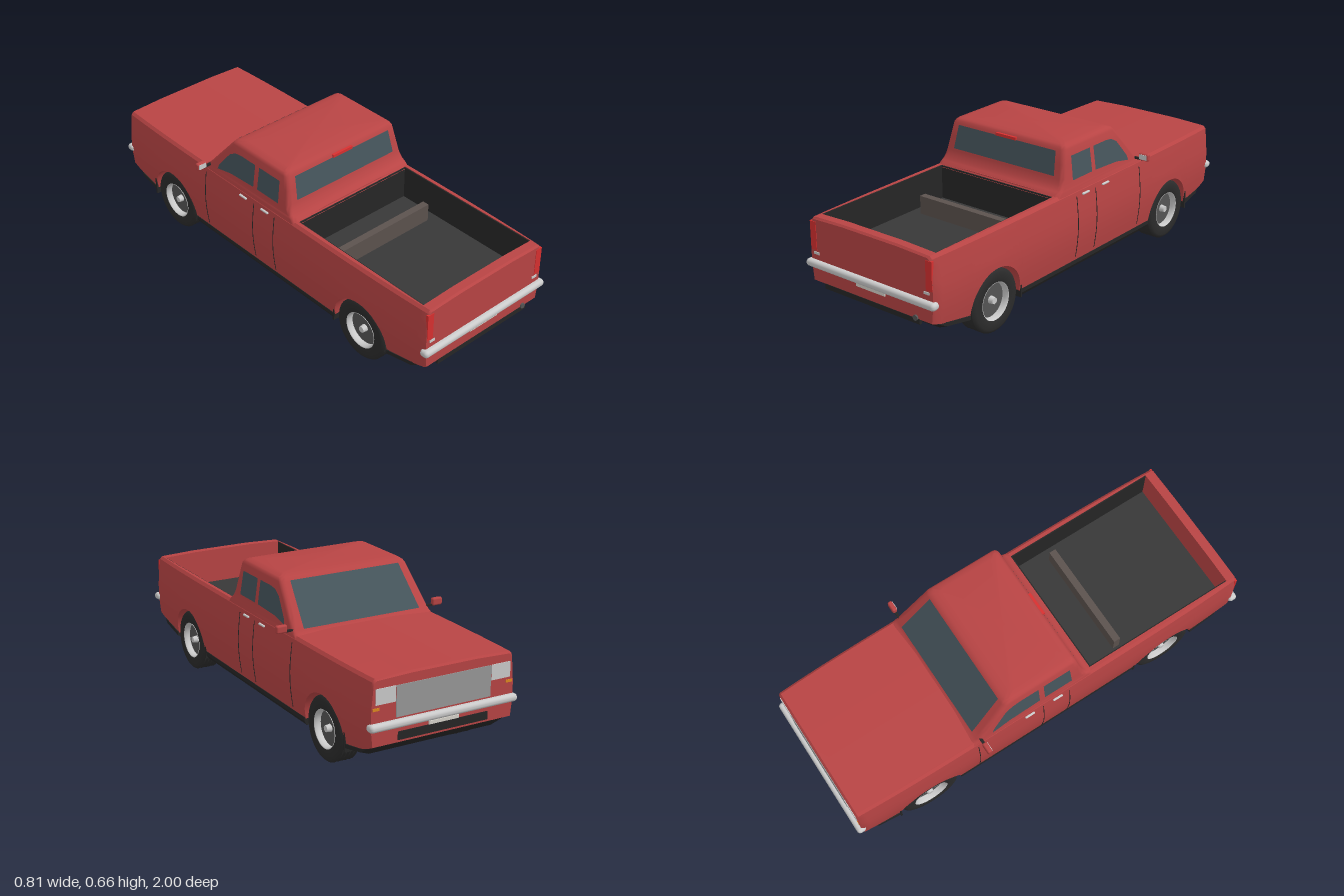
import * as THREE from 'three';
import { toCreasedNormals } from 'three/addons/utils/BufferGeometryUtils.js';
import { RoundedBoxGeometry } from 'three/addons/geometries/RoundedBoxGeometry.js';

const mat = (color, side = THREE.FrontSide) => new THREE.MeshStandardMaterial({ color, side });
const RED = mat(0xb84444), DARK = mat(0x262626), LINER = mat(0x383838), GLASS = mat(0x46555c, THREE.DoubleSide);
const CHROME = mat(0xcccccc), LAMP = mat(0xd83030), RUBBER = mat(0x2b2b2b), STEEL = mat(0x555555), WOOD = mat(0x5c524e);
const PALE = mat(0xd8d4cc), AMBER = mat(0xe08a20), RIM = mat(0xcccccc, THREE.DoubleSide);

// Piecewise-linear lookup in a list of [key, value]
function lookup(table, k) {
  if (k <= table[0][0]) return table[0][1];
  for (let i = 1; i < table.length; i++) {
    const [a, va] = table[i - 1], [b, vb] = table[i];
    if (k <= b) return va + (vb - va) * (k - a) / (b - a);
  }
  return table[table.length - 1][1];
}

// Skin over equal-length closed rings, capped at both ends
function loft(rings, crease = 0.6) {
  const n = rings[0].length, pos = rings.flat(2), idx = [];
  for (let i = 0; i < rings.length - 1; i++) {
    for (let j = 0; j < n; j++) {
      const a = i * n + j, b = i * n + (j + 1) % n;
      idx.push(a, b, b + n, a, b + n, a + n);
    }
  }
  [0, rings.length - 1].forEach((r, end) => {
    const c = pos.length / 3, ring = rings[r];
    for (let k = 0; k < 3; k++) pos.push(ring.reduce((s, p) => s + p[k], 0) / n);
    for (let j = 0; j < n; j++) {
      const a = r * n + j, b = r * n + (j + 1) % n;
      if (end) idx.push(c, a, b); else idx.push(c, b, a);
    }
  });
  const g = new THREE.BufferGeometry();
  g.setAttribute('position', new THREE.Float32BufferAttribute(pos, 3));
  g.setIndex(idx);
  return toCreasedNormals(g, crease);
}

// Body rules: wheel positions, half-width and lower edge
const AXLES = [-0.635, 0.61], WHEEL_Y = 0.14, ARCH = 0.151;
const WIDTH = [[0.1, 0.328], [0.18, 0.342], [0.25, 0.35], [0.32, 0.351], [0.4, 0.344], [0.46, 0.336]];
const SILL = [[-0.978, 0.185], [-0.9, 0.15], [-0.79, 0.131], [0.76, 0.131], [0.9, 0.155], [0.978, 0.18]];
const bodyWidth = (y, z) => lookup(WIDTH, y) * (1 - 0.045 * z ** 4);
function lowerEdge(z) {
  for (const c of AXLES) {
    const d = Math.abs(z - c);
    if (d <= ARCH) return WHEEL_Y + Math.sqrt(Math.max(0, ARCH * ARCH - d * d));
  }
  return lookup(SILL, z);
}

function bodyRing(z) {
  const end = Math.abs(z) > 0.975, inBed = z > 0.202 && z < 0.932;
  const t = end ? 0.452 : 0.46, f = inBed ? 0.3 : t, crown = inBed ? 0 : 0.006;
  const b = lowerEdge(z), half = [], k = end ? 0.985 : 1;
  for (let i = 0; i <= 9; i++) {
    const y = b + (t - 0.012 - b) * i / 9;
    half.push([bodyWidth(y, z) * k, y, z]);
  }
  half.push([(bodyWidth(t, z) - 0.01) * k, t, z], [0.31, t, z], [0.31, f, z], [0.15, f + crown, z]);
  return [...half, ...half.map(([x, y, zz]) => [-x, y, zz]).reverse()];
}

// Cab rules: rear and front faces and half-width by height
const CAB_REAR = [[0.45, 0.21], [0.465, 0.198], [0.48, 0.178], [0.5, 0.164], [0.52, 0.157], [0.64, 0.129], [0.655, 0.118], [0.663, 0.095]];
const CAB_FRONT = [[0.45, -0.42], [0.465, -0.392], [0.475, -0.38], [0.65, -0.228], [0.658, -0.208], [0.663, -0.18]];
const CAB_WIDTH = [[0.45, 0.336], [0.48, 0.332], [0.64, 0.309], [0.65, 0.304], [0.658, 0.294], [0.663, 0.27]];
function cabRing(y) {
  const w = lookup(CAB_WIDTH, y), zr = lookup(CAB_REAR, y), zf = lookup(CAB_FRONT, y), r = 0.022, ring = [];
  [[1, zf + r], [-1, zf + r], [-1, zr - r], [1, zr - r]].forEach(([s, z], q) => {
    for (let i = 0; i <= 4; i++) {
      const a = (q + i / 4) * Math.PI / 2;
      ring.push([s * (w - r) + r * Math.cos(a), y, z - r * Math.sin(a)]);
    }
  });
  return ring;
}

export function createModel() {
  const model = new THREE.Group();
  const add = (name, geo, material, x = 0, y = 0, z = 0, parent = model) => {
    const m = new THREE.Mesh(geo, material);
    m.name = name;
    m.position.set(x, y, z);
    parent.add(m);
    return m;
  };
  const box = (name, material, w, h, d, x, y, z) => add(name, new THREE.BoxGeometry(w, h, d), material, x, y, z);
  // Flat outline laid onto a curved face by a rule
  const panel = (name, material, pts, place) => {
    const g = new THREE.ShapeGeometry(new THREE.Shape(pts.map(p => new THREE.Vector2(...p))));
    const p = g.attributes.position;
    for (let i = 0; i < p.count; i++) p.setXYZ(i, ...place(p.getX(i), p.getY(i)));
    g.computeVertexNormals();
    return add(name, g, material);
  };

  // Body shell with wheel tunnels and open bed
  const stations = [-0.978, -0.97, -0.94, -0.88, -0.4, -0.3, -0.2, -0.1, 0, 0.1, 0.2, 0.203, 0.3, 0.4, 0.85, 0.93, 0.933, 0.97, 0.978];
  for (const c of AXLES) {
    stations.push(c - ARCH - 0.001, c + ARCH + 0.001);
    for (let i = 0; i <= 24; i++) stations.push(c + ARCH * 0.99999 * Math.cos(i * Math.PI / 24));
  }
  stations.sort((a, b) => a - b);
  add('body', loft(stations.map(bodyRing)), RED);

  // Cab
  const levels = [0.45, 0.465, 0.475, 0.48, 0.5, 0.52, 0.58, 0.64, 0.65, 0.655, 0.658, 0.663];
  add('cab', loft(levels.map(cabRing), 0.8), RED);

  // Underbody pieces: [z, top, bottom, top half-width, bottom half-width]
  const under = [
    [[-0.968, 0.19, 0.18, 0.31, 0.26], [-0.9, 0.155, 0.125, 0.33, 0.29], [-0.79, 0.135, 0.1, 0.334, 0.3]],
    [[-0.48, 0.135, 0.1, 0.336, 0.325], [0.455, 0.135, 0.1, 0.336, 0.325]],
    [[0.765, 0.135, 0.1, 0.334, 0.3], [0.9, 0.16, 0.125, 0.33, 0.29], [0.97, 0.185, 0.17, 0.31, 0.26]],
  ];
  under.forEach(part => add('underbody', loft(part.map(([z, t, b, w, v]) =>
    [[v, b, z], [w, (t + b) / 2, z], [w, t, z], [-w, t, z], [-w, (t + b) / 2, z], [-v, b, z]]), 0.4), DARK));

  // Bed lining and cross board
  box('bedFloor', LINER, 0.62, 0.006, 0.728, 0, 0.302, 0.567);
  box('bedFrontWall', DARK, 0.62, 0.155, 0.006, 0, 0.38, 0.206);
  for (const s of [1, -1]) box('bedSideWall', DARK, 0.006, 0.155, 0.728, s * 0.308, 0.38, 0.567);
  box('bedBoard', WOOD, 0.51, 0.085, 0.032, 0, 0.345, 0.392);

  // Windows
  panel('windshield', GLASS, [[-0.282, 0.478], [0.282, 0.478], [0.265, 0.644], [-0.265, 0.644]],
    (x, y) => [x, y, lookup(CAB_FRONT, y) - 0.003]);
  panel('rearWindow', GLASS, [[-0.277, 0.53], [0.277, 0.53], [0.267, 0.634], [-0.267, 0.634]],
    (x, y) => [x, y, lookup(CAB_REAR, y) + 0.003]);
  const sideWindows = {
    rearSideWindow: [[0.095, 0.505], [-0.042, 0.505], [-0.042, 0.61], [0.09, 0.61]],
    frontSideWindow: [[-0.068, 0.505], [-0.22, 0.498], [-0.308, 0.482], [-0.3, 0.505], [-0.235, 0.585], [-0.2, 0.605], [-0.16, 0.61], [-0.068, 0.61]],
  };

  for (const s of [1, -1]) {
    for (const [name, pts] of Object.entries(sideWindows)) {
      panel(name, GLASS, pts, (z, y) => [s * (lookup(CAB_WIDTH, y) + 0.002), y, z]);
    }
    // Door seams, following the side
    for (const z of [0.08, -0.055, -0.385]) {
      const seam = [0.15, 0.18, 0.25, 0.32, 0.4, 0.43].map(y => new THREE.Vector3(s * bodyWidth(y, z), y, z));
      add('doorSeam', new THREE.TubeGeometry(new THREE.CatmullRomCurve3(seam), 12, 0.0018, 5), DARK);
    }
    for (const z of [0.018, -0.125]) add('doorHandle', new RoundedBoxGeometry(0.012, 0.009, 0.048, 2, 0.004), CHROME, s * 0.342, 0.43, z);

    // Mirrors
    box('mirrorArm', DARK, 0.05, 0.008, 0.012, s * 0.348, 0.476, -0.365);
    add('mirrorHousing', new RoundedBoxGeometry(0.05, 0.034, 0.022, 3, 0.008), RED, s * 0.38, 0.489, -0.366);
    box('mirrorGlass', CHROME, 0.038, 0.023, 0.003, s * 0.38, 0.489, -0.355);

    // Lamps
    box('tailLight', LAMP, 0.032, 0.125, 0.012, s * 0.313, 0.38, 0.974);
    box('reverseLight', CHROME, 0.028, 0.011, 0.008, s * 0.299, 0.305, 0.977);
    box('headlight', CHROME, 0.09, 0.065, 0.012, s * 0.268, 0.388, -0.975);
    box('turnSignal', AMBER, 0.03, 0.012, 0.012, s * 0.31, 0.338, -0.974);

    // Mudflaps
    for (const z of [-0.792, 0.45]) box('mudflap', DARK, 0.096, 0.085, 0.008, s * 0.289, 0.142, z);
  }

  // Front and rear fittings
  box('brakeLight', LAMP, 0.11, 0.013, 0.012, 0, 0.639, 0.131);
  box('grille', mat(0x999999), 0.44, 0.13, 0.012, 0, 0.355, -0.975);
  box('lowerGrille', DARK, 0.42, 0.035, 0.012, 0, 0.212, -0.975);
  box('frontPlate', PALE, 0.14, 0.014, 0.01, 0, 0.238, -0.979);
  box('rearPlate', PALE, 0.158, 0.013, 0.012, 0, 0.231, 0.976);
  box('rearValance', DARK, 0.52, 0.022, 0.012, 0, 0.17, 0.974);
  add('rearBumper', new RoundedBoxGeometry(0.7, 0.033, 0.042, 4, 0.015), CHROME, 0, 0.259, 0.979);
  add('frontBumper', new RoundedBoxGeometry(0.69, 0.033, 0.042, 4, 0.015), CHROME, 0, 0.266, -0.979);
  add('exhaust', new THREE.CylinderGeometry(0.012, 0.012, 0.08, 16).rotateX(Math.PI / 2), STEEL, 0.24, 0.184, 0.945);

  // Wheels: grooved tyre, rim barrel, recessed disc and hub
  const v = (r, h) => new THREE.Vector2(r, h);
  const tread = [];
  for (let i = 0; i <= 16; i++) tread.push(v(0.136 + 0.002 * Math.cos(i * Math.PI / 2), -0.036 + 0.072 * i / 16));
  const tyre = toCreasedNormals(new THREE.LatheGeometry(
    [v(0.08, -0.042), v(0.09, -0.047), v(0.122, -0.047), v(0.132, -0.043), ...tread,
      v(0.132, 0.043), v(0.122, 0.047), v(0.09, 0.047), v(0.08, 0.042), v(0.08, -0.042)], 40), 0.6);
  const rim = new THREE.LatheGeometry([v(0.079, -0.043), v(0.076, -0.03), v(0.076, 0.03), v(0.079, 0.044), v(0.083, 0.046)], 40);
  for (const s of [1, -1]) {
    for (const z of AXLES) {
      const wheel = new THREE.Group();
      wheel.name = 'wheel';
      wheel.position.set(s * 0.288, WHEEL_Y, z);
      wheel.rotation.z = -s * Math.PI / 2;
      model.add(wheel);
      add('tyre', tyre, RUBBER, 0, 0, 0, wheel);
      add('rim', rim, RIM, 0, 0, 0, wheel);
      add('wheelDisc', new THREE.CylinderGeometry(0.076, 0.076, 0.012, 40), STEEL, 0, 0.012, 0, wheel);
      add('hub', new THREE.CylinderGeometry(0.014, 0.017, 0.024, 20), CHROME, 0, 0.028, 0, wheel);
    }
  }
  return model;
}
